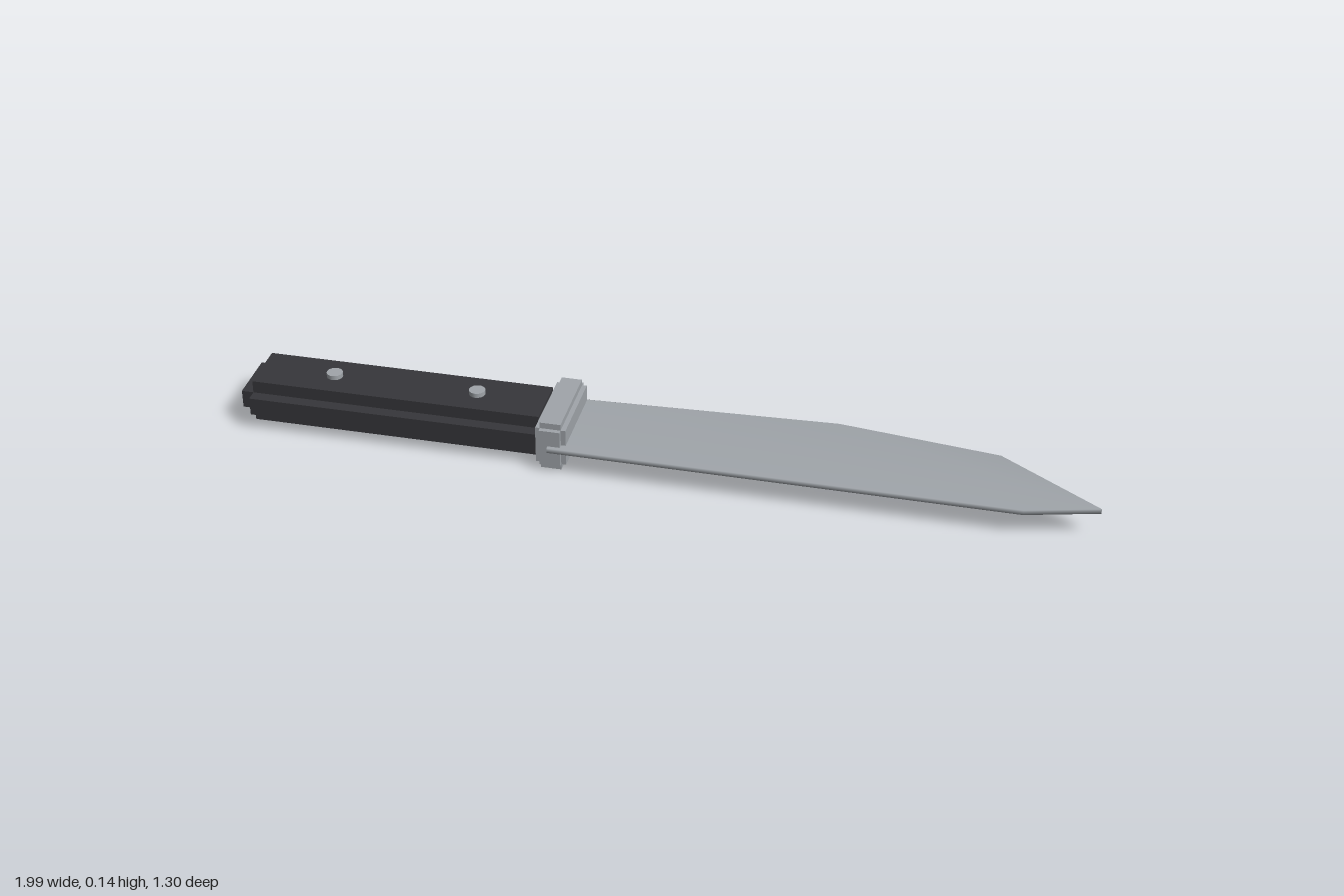
import * as THREE from 'three';
import { mergeVertices } from 'three/addons/utils/BufferGeometryUtils.js';

const MID = 0.0725;    // height of the knife's mid plane
const CENTER = -0.067; // sideways offset of handle and guard

const material = (color) => new THREE.MeshStandardMaterial({ color });

// Block with stepped edges: three crossing boxes, each full size along one axis
function steppedBlock(name, mat, x, size, step) {
  const group = new THREE.Group();
  group.name = name;
  for (let axis = 0; axis < 3; axis++) {
    const dims = size.map((d, i) => (i === axis ? d : d - 2 * step[i]));
    const mesh = new THREE.Mesh(new THREE.BoxGeometry(...dims), mat);
    mesh.name = name + ['Core', 'Faces', 'Sides'][axis];
    group.add(mesh);
  }
  group.position.set(x, MID, CENTER);
  return group;
}

// Flat angular blade, smoothly shaded across its edges
function makeBlade(mat) {
  const outline = [
    [-0.25, -0.182], [-0.2, -0.185], [0.478, -0.217], [0.912, -0.16],
    [1.184, 0.027], [0.992, 0.077], [-0.25, 0.071],
  ].map(([x, y]) => new THREE.Vector2(x, y));
  const thickness = 0.014;
  let geometry = new THREE.ExtrudeGeometry(new THREE.Shape(outline), {
    depth: thickness, bevelEnabled: false,
  });
  geometry.rotateX(Math.PI / 2);
  geometry.deleteAttribute('normal');
  geometry.deleteAttribute('uv');
  geometry = mergeVertices(geometry, 1e-4);
  geometry.computeVertexNormals();
  const blade = new THREE.Mesh(geometry, mat);
  blade.name = 'blade';
  blade.position.y = MID + thickness / 2;
  return blade;
}

export function createModel() {
  const knife = new THREE.Group();
  knife.name = 'knife';
  const steel = material(0xa0a5aa);
  const grip = material(0x36363a);

  knife.add(makeBlade(steel));
  knife.add(steppedBlock('guard', steel, -0.245, [0.082, 0.139, 0.256], [0.013, 0.017, 0.013]));
  knife.add(steppedBlock('handle', grip, -0.685, [0.862, 0.12, 0.216], [0.033, 0.035, 0.0325]));

  // Rivets pass right through the handle
  for (const x of [-0.875, -0.476]) {
    const rivet = new THREE.Mesh(new THREE.CylinderGeometry(0.022, 0.022, 2 * MID, 16), steel);
    rivet.name = 'rivet';
    rivet.position.set(x, MID, CENTER);
    knife.add(rivet);
  }

  // The knife lies flat, turned diagonally
  knife.rotation.y = THREE.MathUtils.degToRad(34.6);
  const model = new THREE.Group();
  model.name = 'model';
  model.add(knife);
  return model;
}
